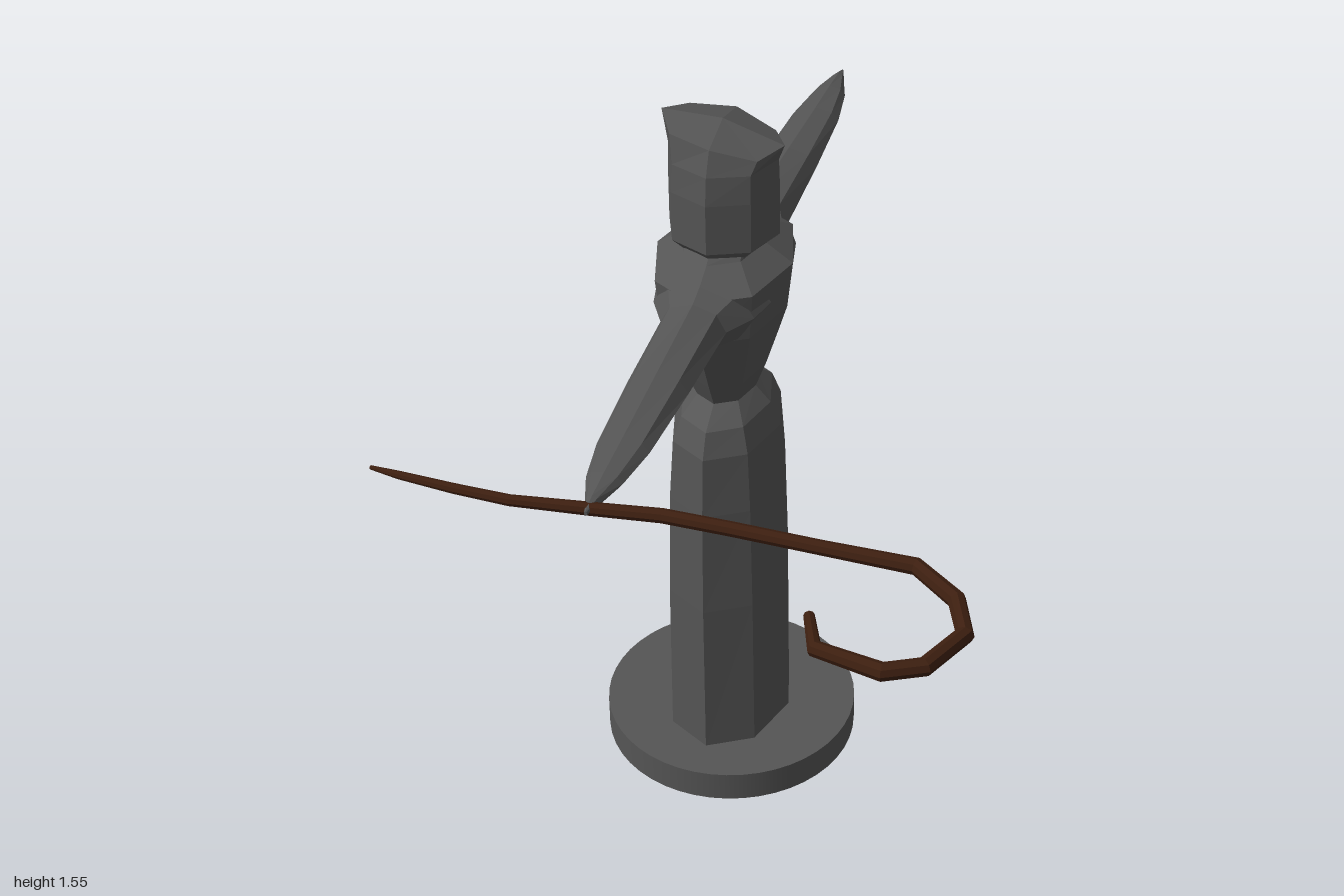
import * as THREE from 'three';

const V = (x, y, z) => new THREE.Vector3(x, y, z);
const X = V(1, 0, 0), Y = V(0, 1, 0), Z = V(0, 0, 1), BACK = V(0, 0, -1);

// Ring of n points around c, counter-clockwise seen from the u x v side
function ring(c, u, v, hu, hv, n = 8) {
  return Array.from({ length: n }, (_, i) => {
    const a = (i / n) * Math.PI * 2;
    return c.clone().addScaledVector(u, Math.cos(a) * hu).addScaledVector(v, Math.sin(a) * hv);
  });
}

// Skin between successive rings, closed with a fan at both ends
function loft(rings, endPoint) {
  const pos = [], n = rings[0].length, last = rings[rings.length - 1];
  const tri = (...p) => p.forEach((q) => pos.push(q.x, q.y, q.z));
  const mid = (r) => r.reduce((s, p) => s.add(p), V(0, 0, 0)).divideScalar(n);
  const start = mid(rings[0]), end = endPoint || mid(last);
  for (let i = 0; i < n; i++) {
    const j = (i + 1) % n;
    for (let k = 0; k + 1 < rings.length; k++) {
      const a = rings[k], b = rings[k + 1];
      tri(a[i], a[j], b[j]);
      tri(a[i], b[j], b[i]);
    }
    tri(start, rings[0][j], rings[0][i]);
    tri(end, last[i], last[j]);
  }
  const g = new THREE.BufferGeometry();
  g.setAttribute('position', new THREE.Float32BufferAttribute(pos, 3));
  g.computeVertexNormals();
  return g;
}

export function createModel() {
  const model = new THREE.Group();
  const figure = new THREE.Group();
  figure.name = 'figure';
  figure.position.set(-0.163, 0, -0.122);
  model.add(figure);

  const stone = new THREE.MeshStandardMaterial({ color: 0x555555, flatShading: true });
  const smoothStone = new THREE.MeshStandardMaterial({ color: 0x555555 });
  const wood = new THREE.MeshStandardMaterial({ color: 0x3d1f10, flatShading: true });
  const add = (parent, name, geo, mat) => {
    const m = new THREE.Mesh(geo, mat);
    m.name = name;
    parent.add(m);
    return m;
  };
  // Stack of horizontal octagons: [y, half width x, half depth z]
  const stack = (rows) => rows.map(([y, hx, hz]) => ring(V(0, y, 0), X, BACK, hx, hz));

  // Round base
  add(figure, 'base', new THREE.CylinderGeometry(0.278, 0.278, 0.07, 48), smoothStone).position.y = 0.035;

  // Long robe, narrowing at the waist
  add(figure, 'robe', loft(stack([
    [0.065, 0.135, 0.19], [0.45, 0.132, 0.188], [0.7, 0.125, 0.18],
    [0.84, 0.115, 0.168], [0.895, 0.095, 0.145], [0.932, 0.062, 0.088],
  ])), stone);

  // Torso up to the neck
  add(figure, 'torso', loft(stack([
    [0.928, 0.062, 0.088], [0.99, 0.085, 0.118], [1.08, 0.113, 0.158], [1.14, 0.131, 0.19],
    [1.245, 0.143, 0.2], [1.285, 0.085, 0.12], [1.3, 0.08, 0.1],
  ])), stone);

  // Hood facing +x: the top rises to the back, the brim hangs over the face
  const hood = stack([[1.28, 0.082, 0.095], [1.31, 0.116, 0.12], [1.42, 0.116, 0.12], [1.48, 0.114, 0.112]]);
  const crown = ring(V(0, 0, 0), X, BACK, 0.126, 0.09);
  const crownY = [1.512, 1.505, 1.53, 1.538, 1.555, 1.538, 1.53, 1.505];
  crown.forEach((p, i) => { p.y = crownY[i]; });
  hood.push(crown);
  add(figure, 'hood', loft(hood, V(0, 1.553, 0)), stone);

  // Straight arms: [distance along z, centre y, half width, half height]
  const arm = [
    [0.08, 1.195, 0.12, 0.075], [0.15, 1.195, 0.105, 0.075], [0.22, 1.197, 0.068, 0.053],
    [0.45, 1.197, 0.062, 0.038], [0.66, 1.196, 0.052, 0.025], [0.77, 1.196, 0.036, 0.019],
    [0.84, 1.196, 0.014, 0.013], [0.878, 1.195, 0.003, 0.005],
  ];
  for (const side of [1, -1]) {
    const k = side > 0 ? 0.945 : 1; // the arm with the staff is a little shorter
    const rings = arm.map(([d, y, hx, hy]) => ring(V(0, y, d * k), X, Y, hx, hy));
    const m = add(figure, side > 0 ? 'frontArm' : 'backArm', loft(rings), stone);
    if (side < 0) m.rotation.y = Math.PI;
  }

  // Crooked staff: [x, z, radius]
  const path = [
    [-0.59, 0.686, 0.004], [-0.53, 0.693, 0.008], [-0.42, 0.702, 0.01], [-0.31, 0.706, 0.011],
    [-0.16, 0.688, 0.013], [-0.03, 0.672, 0.014], [0.1, 0.676, 0.014], [0.27, 0.685, 0.014],
    [0.445, 0.69, 0.016], [0.535, 0.76, 0.017], [0.57, 0.845, 0.017], [0.525, 0.945, 0.017],
    [0.46, 0.978, 0.017], [0.335, 0.952, 0.015], [0.302, 0.87, 0.01],
  ];
  const pts = path.map(([x, z]) => V(x, 1.192 + 0.008 * THREE.MathUtils.smoothstep(x, -0.2, 0.45), z));
  const staff = pts.map((p, i) => {
    const before = pts[Math.max(i - 1, 0)], after = pts[Math.min(i + 1, pts.length - 1)];
    const t = after.clone().sub(before).setY(0).normalize();
    return ring(p, Y.clone().cross(t), Y, path[i][2], path[i][2], 8);
  });
  add(model, 'staff', loft(staff), wood);

  return model;
}
